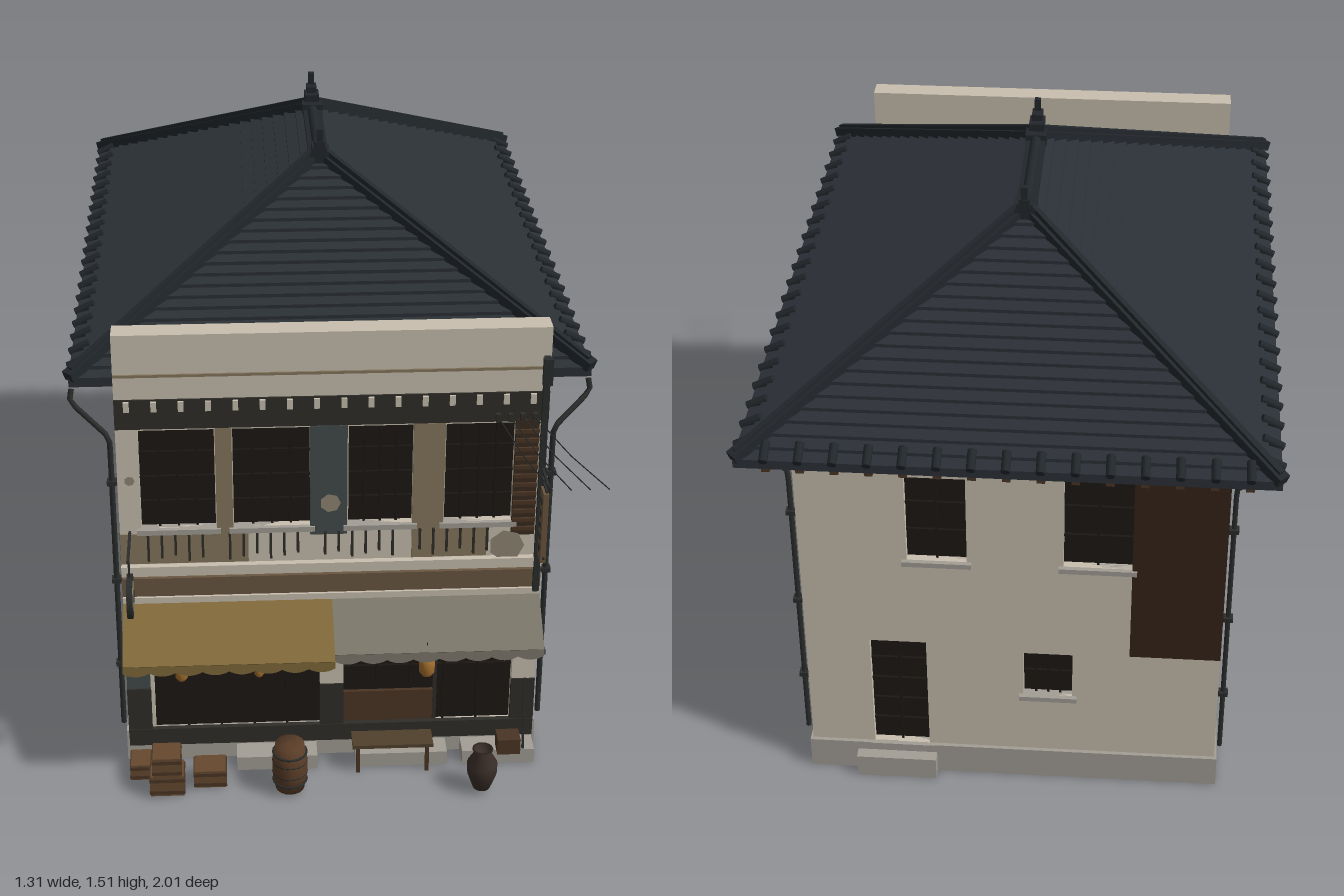
import * as THREE from 'three';

const C = { wall: 0xc8bfae, stone: 0xa39e96, dark: 0x1b1714, beam: 0x2e2d29, brown: 0x4a3524, tan: 0x85765c,
  olive: 0x5a503c, teal: 0x444c4c, roof: 0x2b3036, ridge: 0x22272b, metal: 0x2a2d2c, ochre: 0x80693a, grey: 0x7d786b };
const mats = {};
const mat = (c) => mats[c] ??= new THREE.MeshStandardMaterial({ color: c, side: THREE.DoubleSide, flatShading: false });

function add(parent, name, geo, color, x = 0, y = 0, z = 0) {
  const m = new THREE.Mesh(geo, mat(color));
  m.name = name; m.position.set(x, y, z); parent.add(m);
  return m;
}
// box from its limits
const box = (p, name, c, x0, x1, y0, y1, z0, z1) => add(p, name, new THREE.BoxGeometry(x1 - x0, y1 - y0, z1 - z0), c,
  (x0 + x1) / 2, (y0 + y1) / 2, (z0 + z1) / 2);
// square beam between two points
function beam(p, name, c, a, b, w, h = w) {
  const A = new THREE.Vector3(...a), B = new THREE.Vector3(...b);
  const m = add(p, name, new THREE.BoxGeometry(w, h, A.distanceTo(B)), c, ...A.clone().add(B).multiplyScalar(0.5));
  m.lookAt(B);
  return m;
}
const tube = (p, name, c, pts, r, seg = 16) => add(p, name, new THREE.TubeGeometry(
  new THREE.CatmullRomCurve3(pts.map((q) => new THREE.Vector3(...q)), false, 'catmullrom', 0.1), seg, r, 6), c);
const lathe = (p, name, c, pts, x, y, z) => add(p, name,
  new THREE.LatheGeometry(pts.map((q) => new THREE.Vector2(...q)), 18), c, x, y, z);
function poly(pts) {
  return new THREE.Shape(pts.map((q) => new THREE.Vector2(...q)));
}
const rect = (x0, x1, y0, y1) => poly([[x0, y0], [x1, y0], [x1, y1], [x0, y1]]);

// wall in its own plane (outside = +z); each opening is [x0, x1, y0, y1, vertical bars, cross bars]
function wall(parent, name, x0, x1, h, thick, openings, framed = true) {
  const g = new THREE.Group(); g.name = name; parent.add(g);
  const s = rect(x0, x1, 0.05, h);
  for (const o of openings) s.holes.push(rect(...o));
  add(g, 'wallPanel', new THREE.ExtrudeGeometry(s, { depth: thick, bevelEnabled: false }), C.wall, 0, 0, -thick);
  for (const [a, b, c, d, nv = 1, nh = 1] of openings) {
    box(g, 'windowPane', C.dark, a, b, c, d, -0.024, -0.02);
    for (let i = 1; i <= nv; i++) {
      const x = a + (b - a) * i / (nv + 1);
      box(g, 'windowBar', C.dark, x - 0.003, x + 0.003, c, d, -0.02, -0.012);
    }
    for (let i = 1; i <= nh; i++) {
      const y = c + (d - c) * i / (nh + 1);
      box(g, 'windowBar', C.dark, a, b, y - 0.003, y + 0.003, -0.02, -0.013);
    }
    if (framed) box(g, 'windowSill', C.stone, a - 0.012, b + 0.012, c - 0.014, c, -0.02, 0.012);
  }
  return g;
}

function buildWalls(root) {
  const front = wall(root, 'frontWall', -0.53, 0.53, 1.23, 0.06, [
    [-0.475, -0.29, 0.7, 0.975, 3, 3], [-0.245, -0.055, 0.7, 0.975, 3, 3], [0.04, 0.2, 0.7, 0.975, 3, 3],
    [0.28, 0.45, 0.7, 0.975, 3, 3], [-0.46, -0.03, 0.09, 0.43, 4, 1], [0.03, 0.47, 0.09, 0.43, 4, 1]]);
  front.position.z = 0.725;
  const right = wall(root, 'leftSideWall', -0.725, 0.87, 1.08, 0.03,
    [[-0.44, -0.275, 0.715, 0.945, 1, 2], [-0.315, -0.13, 0.27, 0.43, 9, 0]]);
  right.position.x = 0.53; right.rotation.y = Math.PI / 2;
  box(right, 'wornPanel', C.olive, -0.13, 0.83, 0.09, 0.71, 0, 0.002);
  box(right, 'patch', C.tan, -0.275, -0.135, 0.95, 1.06, 0, 0.002);
  const left = wall(root, 'rightSideWall', -0.87, 0.725, 1.08, 0.03,
    [[-0.26, -0.12, 0.78, 0.92, 1, 1], [0.14, 0.3, 0.25, 0.42, 9, 0]]);
  left.position.x = -0.53; left.rotation.y = -Math.PI / 2;
  box(left, 'wornPanel', C.olive, 0.3, 0.71, 0.09, 0.71, 0, 0.002);
  box(left, 'wornPanel', C.olive, 0.14, 0.3, 0.42, 0.71, 0, 0.002);
  const back = wall(root, 'backWall', -0.53, 0.53, 1.08, 0.03,
    [[-0.26, -0.11, 0.71, 0.965, 1, 2], [0.13, 0.3, 0.71, 0.975, 1, 2], [-0.365, -0.22, 0.09, 0.44, 1, 4],
      [0.03, 0.155, 0.28, 0.42, 3, 1]]);
  back.position.z = -0.87; back.rotation.y = Math.PI;
  box(back, 'timberPanel', 0x352318, 0.3, 0.53, 0.43, 1.06, 0, 0.006);
  box(back, 'timberPatch', C.brown, 0.13, 0.3, 0.98, 1.06, 0, 0.005);
  box(back, 'backStep', C.stone, -0.41, -0.2, 0, 0.065, 0, 0.04);
  // hollow stone base and floor
  const base = rect(-0.537, 0.537, -0.728, 0.88);
  base.holes.push(rect(-0.47, 0.47, -0.66, 0.81));
  add(root, 'stoneBase', new THREE.ExtrudeGeometry(base, { depth: 0.09, bevelEnabled: false }), C.stone)
    .rotation.x = -Math.PI / 2;
  box(root, 'floor', 0x3a2c25, -0.5, 0.5, 0.05, 0.06, -0.84, 0.7);
}

function buildRoof(root) {
  const g = new THREE.Group(); g.name = 'roof'; root.add(g);
  const Y0 = 1.085, Y1 = 1.42, N = 20;
  const ring = (t, dy) => {
    const x = 0.64 + (0.015 - 0.64) * t, y = Y0 + (Y1 - Y0) * t + dy, zb = -1 + 0.63 * t, zf = 0.67 - 0.62 * t;
    return [[x, y, zf], [x, y, zb], [-x, y, zb], [-x, y, zf]];
  };
  // stepped tile courses on all four slopes
  const pos = [];
  const band = (lo, hi) => lo.forEach((a, i) => {
    const j = (i + 1) % 4;
    pos.push(...a, ...lo[j], ...hi[j], ...a, ...hi[j], ...hi[i]);
  });
  for (let i = 0; i < N; i++) {
    band(ring(i / N, i ? 0 : -0.015), ring(i / N, 0.009));
    band(ring(i / N, 0.009), ring((i + 1) / N, 0));
  }
  const tiles = new THREE.BufferGeometry();
  tiles.setAttribute('position', new THREE.Float32BufferAttribute(pos, 3));
  tiles.computeVertexNormals();
  add(g, 'tileCourses', tiles, C.roof);
  // soffit, rafters and round eave tiles
  const s = rect(-0.635, 0.635, -0.665, 0.995);
  s.holes.push(rect(-0.5, 0.5, -0.66, 0.84));
  add(g, 'soffit', new THREE.ExtrudeGeometry(s, { depth: 0.006, bevelEnabled: false }), C.brown, 0, 1.067)
    .rotation.x = -Math.PI / 2;
  const cap = new THREE.CylinderGeometry(0.011, 0.011, 0.055, 8);
  for (let i = 0; i < 20; i++) {
    const z = -0.94 + i * 0.081;
    for (const k of [-1, 1]) {
      add(g, 'eaveTile', cap, C.ridge, k * 0.62, 1.105, z).rotation.z = Math.PI / 2 - k * 0.45;
      if (z < 0.64) beam(g, 'rafter', C.brown, [k * 0.52, 1.06, z], [k * 0.625, 1.06, z], 0.02);
    }
  }
  for (let i = 0; i < 15; i++) {
    const x = -0.567 + i * 0.081;
    add(g, 'eaveTile', cap, C.ridge, x, 1.105, -0.98).rotation.x = Math.PI / 2 - 0.45;
    beam(g, 'rafter', C.brown, [x, 1.06, -0.86], [x, 1.06, -0.985], 0.02);
  }
  // ridge, hips and finials
  box(g, 'ridge', C.ridge, -0.026, 0.026, 1.4, 1.43, -0.38, 0.06);
  const roll = add(g, 'ridgeRoll', new THREE.CylinderGeometry(0.014, 0.014, 0.44, 10), C.ridge, 0, 1.43, -0.16);
  roll.rotation.x = Math.PI / 2;
  ring(0, 0).forEach((c, i) => {
    const top = ring(1, 0)[i];
    beam(g, 'hip', C.ridge, [c[0], c[1] + 0.012, c[2]], [top[0], top[1] + 0.005, top[2]], 0.032, 0.026);
    const h = (f) => c.map((v, n) => v + (top[n] - v) * f + (n === 1 ? 0.026 : 0));
    beam(g, 'hipRoll', C.ridge, h(0.01), h(1), 0.014);
  });
  for (const [z, k] of [[0.03, 1], [-0.35, -1]]) {
    const f = new THREE.Group(); f.name = 'finial'; f.position.set(0, 1.41, z); f.scale.z = k; g.add(f);
    box(f, 'finialBase', C.ridge, -0.028, 0.028, 0, 0.035, -0.025, 0.04);
    box(f, 'finialStep', C.ridge, -0.02, 0.02, 0.035, 0.055, 0, 0.055);
    box(f, 'finialNeck', C.ridge, -0.014, 0.014, 0.05, 0.072, 0.02, 0.062);
    box(f, 'finialTip', C.ridge, -0.008, 0.008, 0.065, 0.105, 0.045, 0.06);
  }
}

function buildFacade(root) {
  const g = new THREE.Group(); g.name = 'facade'; root.add(g);
  const f = (name, c, x0, x1, y0, y1, d = 0.006, z = 0.724) => box(g, name, c, x0, x1, y0, y1, z, z + d);
  f('parapetMolding', C.tan, -0.53, 0.53, 1.12, 1.127);
  f('frieze', C.beam, -0.53, 0.53, 0.98, 1.06, 0.005);
  for (let i = 0; i < 16; i++) f('dentil', C.wall, -0.507 + i * 0.066, -0.493 + i * 0.066, 1.03, 1.056, 0.012);
  // pilasters and sill panels of the upper floor
  f('pilaster', C.tan, -0.288, -0.247, 0.6, 0.98);
  f('pilaster', C.teal, -0.055, 0.037, 0.675, 0.98, 0.008);
  f('pilaster', C.tan, 0.2, 0.278, 0.6, 0.98);
  f('sillPanel', C.tan, -0.53, -0.21, 0.6, 0.685, 0.005);
  f('sillPanel', C.tan, 0.2, 0.39, 0.6, 0.685, 0.005);
  for (const [x, y, r] of [[-0.005, 0.765, 0.026], [-0.5, 0.84, 0.013], [0.44, 0.63, 0.045]])
    add(g, 'bareplaster', new THREE.CircleGeometry(r, 7), 0x8f8674, x, y, 0.7335);
  for (let i = 0; i < 26; i++) {
    const x = -0.46 + i * 0.034;
    if (i % 7 !== 5) f('baluster', C.beam, x - 0.003, x + 0.003, 0.61 + (i % 3) * 0.008, 0.685, 0.012);
  }
  f('ledge', C.wall, -0.53, 0.53, 0.57, 0.597, 0.018);
  f('signBoard', 0x6a5640, -0.53, 0.53, 0.508, 0.56, 0.012);
  f('ledge', C.wall, -0.53, 0.53, 0.49, 0.505, 0.014);
  // louvred shutter
  f('shutter', 0x3a2a1e, 0.45, 0.508, 0.66, 0.985, 0.008);
  for (let i = 0; i < 12; i++) f('louvre', C.brown, 0.45, 0.508, 0.675 + i * 0.025, 0.685 + i * 0.025, 0.014);
  // shop front
  for (const x of [-0.5, 0, 0.5]) {
    f('pillar', x < 0 ? C.teal : C.wall, x - 0.03, x + 0.03, 0.09, 0.47, 0.008);
    f('pillarFoot', C.beam, x - 0.031, x + 0.031, 0.09, 0.225, 0.012);
  }
  f('shopPanel', C.brown, 0.03, 0.27, 0.09, 0.19, 0.01, 0.712);
  f('shopPost', C.beam, 0.265, 0.275, 0.09, 0.43, 0.014, 0.71);
  f('threshold', C.beam, -0.53, 0.53, 0.05, 0.1, 0.014);
  // awnings with scalloped valances
  for (const [x0, zf, c] of [[-0.53, 0.885, C.ochre], [0, 0.855, C.grey]]) {
    const w = 0.53, a = [x0, 0.485, 0.735], run = zf - 0.735, drop = 0.09;
    const sheet = add(g, 'awning', new THREE.BoxGeometry(w, 0.004, Math.hypot(run, drop)), c,
      x0 + w / 2, a[1] - drop / 2, 0.735 + run / 2);
    sheet.rotation.x = Math.atan2(drop, run);
    const s = new THREE.Shape(); s.moveTo(0, 0); s.lineTo(0, -0.02);
    for (let i = 0; i < 8; i++) s.quadraticCurveTo((i + 0.5) * w / 8, -0.04, (i + 1) * w / 8, -0.02);
    s.lineTo(w, 0);
    add(g, 'valance', new THREE.ShapeGeometry(s), c, x0, 0.396, zf);
    for (const x of [x0 + 0.02, x0 + w - 0.02])
      beam(g, 'awningStrut', C.metal, [x, 0.42, 0.73], [x, 0.392, zf - 0.005], 0.006);
  }
  for (const [x, r] of [[-0.385, 0.016], [-0.19, 0.012], [0.235, 0.02]]) {
    lathe(g, 'lantern', 0xa06c2c, [[0, -1.3], [0.6, -1.3], [1, -0.7], [1, 0.7], [0.6, 1.3], [0, 1.3]]
      .map((q) => q.map((v) => v * r)), x, 0.345, 0.84);
    beam(g, 'lanternCord', C.metal, [x, 0.36, 0.84], [x, 0.415, 0.84], 0.003);
  }
}

function buildFittings(root) {
  const g = new THREE.Group(); g.name = 'fittings'; root.add(g);
  // corner downpipes
  for (const k of [-1, 1]) for (const z of [0.728, -0.855]) {
    tube(g, 'downpipe', C.metal, [[k * 0.635, 1.06, z > 0 ? 0.66 : z], [k * 0.638, 1.03, z > 0 ? 0.67 : z],
      [k * 0.548, 0.965, z], [k * 0.543, 0.93, z], [k * 0.543, 0.12, z]], 0.007, 40);
    for (const y of [0.3, 0.55, 0.83]) box(g, 'pipeClip', C.metal, k * 0.543 - 0.012, k * 0.543 + 0.012, y, y + 0.012, z - 0.012, z + 0.01);
  }
  // hanging upright sign
  box(g, 'hangingSign', 0x6a543c, 0.513, 0.527, 0.625, 0.82, 0.77, 0.815);
  for (let i = 0; i < 5; i++) box(g, 'signPlate', C.beam, 0.511, 0.529, 0.65 + i * 0.033, 0.667 + i * 0.033, 0.784, 0.801);
  for (const y of [0.64, 0.83, 0.855]) beam(g, 'signBracket', C.metal, [0.52, y, 0.725], [0.52, y, y > 0.85 ? 0.845 : 0.82], 0.006);
  // round hanging sign
  for (const [r, c, t] of [[0.056, C.metal, 0.014], [0.038, C.tan, 0.017], [0.016, C.beam, 0.02]])
    add(g, 'roundSign', new THREE.CylinderGeometry(r, r, t, 24), c, -0.505, 0.573, 0.835).rotation.z = Math.PI / 2;
  beam(g, 'signBracket', C.metal, [-0.505, 0.69, 0.725], [-0.505, 0.69, 0.87], 0.007);
  beam(g, 'signHanger', C.metal, [-0.505, 0.62, 0.835], [-0.505, 0.69, 0.835], 0.005);
  // service mast and sagging wires
  box(g, 'serviceMast', C.metal, 0.51, 0.526, 0.5, 1.16, 0.735, 0.747);
  box(g, 'mastHead', C.metal, 0.506, 0.53, 1.09, 1.16, 0.747, 0.76);
  for (let i = 0; i < 4; i++) {
    const x = 0.405 + i * 0.03, e = 0.5 + i * 0.045;
    tube(g, 'wire', C.metal, [[x, 0.995, 0.735], [(x + e) / 2, 0.952, 0.86], [e, 0.935, 0.998]], 0.0015, 10);
    box(g, 'insulator', C.beam, x - 0.006, x + 0.006, 0.985, 1.005, 0.725, 0.742);
  }
}

function buildStreetItems(root) {
  const g = new THREE.Group(); g.name = 'streetItems'; root.add(g);
  lathe(g, 'barrel', 0x5a3d28, [[0, 0], [0.037, 0], [0.045, 0.045], [0.045, 0.09], [0.037, 0.135], [0, 0.13]], -0.115, 0.01, 0.875);
  for (const y of [0.035, 0.06, 0.095, 0.12])
    add(g, 'barrelHoop', new THREE.TorusGeometry(0.043, 0.003, 6, 18), C.metal, -0.115, y, 0.875).rotation.x = Math.PI / 2;
  lathe(g, 'jar', 0x3a2e28, [[0, 0], [0.022, 0], [0.038, 0.045], [0.039, 0.075], [0.022, 0.105], [0.027, 0.118], [0.02, 0.118], [0.018, 0.1], [0, 0.1]], 0.378, 0.01, 0.9);
  for (const [x, w, y0, h, z] of [[-0.43, 0.085, 0.005, 0.06, 0.86], [-0.43, 0.07, 0.065, 0.055, 0.86], [-0.32, 0.08, 0.005, 0.05, 0.83], [-0.5, 0.05, 0.005, 0.045, 0.79]]) {
    box(g, 'crate', 0x66492e, x - w / 2, x + w / 2, y0, y0 + h, z - 0.035, z + 0.035);
    for (const k of [0.2, 0.8]) box(g, 'crateSlat', C.brown, x - w / 2 - 0.003, x + w / 2 + 0.003, y0 + h * k - 0.005, y0 + h * k + 0.005, z - 0.038, z + 0.038);
  }
  // bench, curb stones, stool and leaning pole
  box(g, 'benchSeat', 0x50402c, 0.05, 0.26, 0.078, 0.088, 0.755, 0.82);
  for (const x of [0.065, 0.245]) for (const z of [0.765, 0.81]) box(g, 'benchLeg', C.brown, x - 0.005, x + 0.005, 0, 0.078, z - 0.005, z + 0.005);
  for (const [x0, x1] of [[-0.25, -0.04], [0.06, 0.3], [0.34, 0.53]]) box(g, 'curbStone', C.stone, x0, x1, 0, 0.04, 0.728, 0.79);
  box(g, 'stool', C.brown, 0.43, 0.49, 0.04, 0.085, 0.76, 0.81);
  beam(g, 'leaningPole', C.metal, [0.5, 0.03, 0.785], [0.5, 0.245, 0.762], 0.006);
}

export function createModel() {
  const root = new THREE.Group();
  root.name = 'shopHouse';
  [buildWalls, buildRoof, buildFacade, buildFittings, buildStreetItems].forEach((build) => build(root));
  return root;
}
